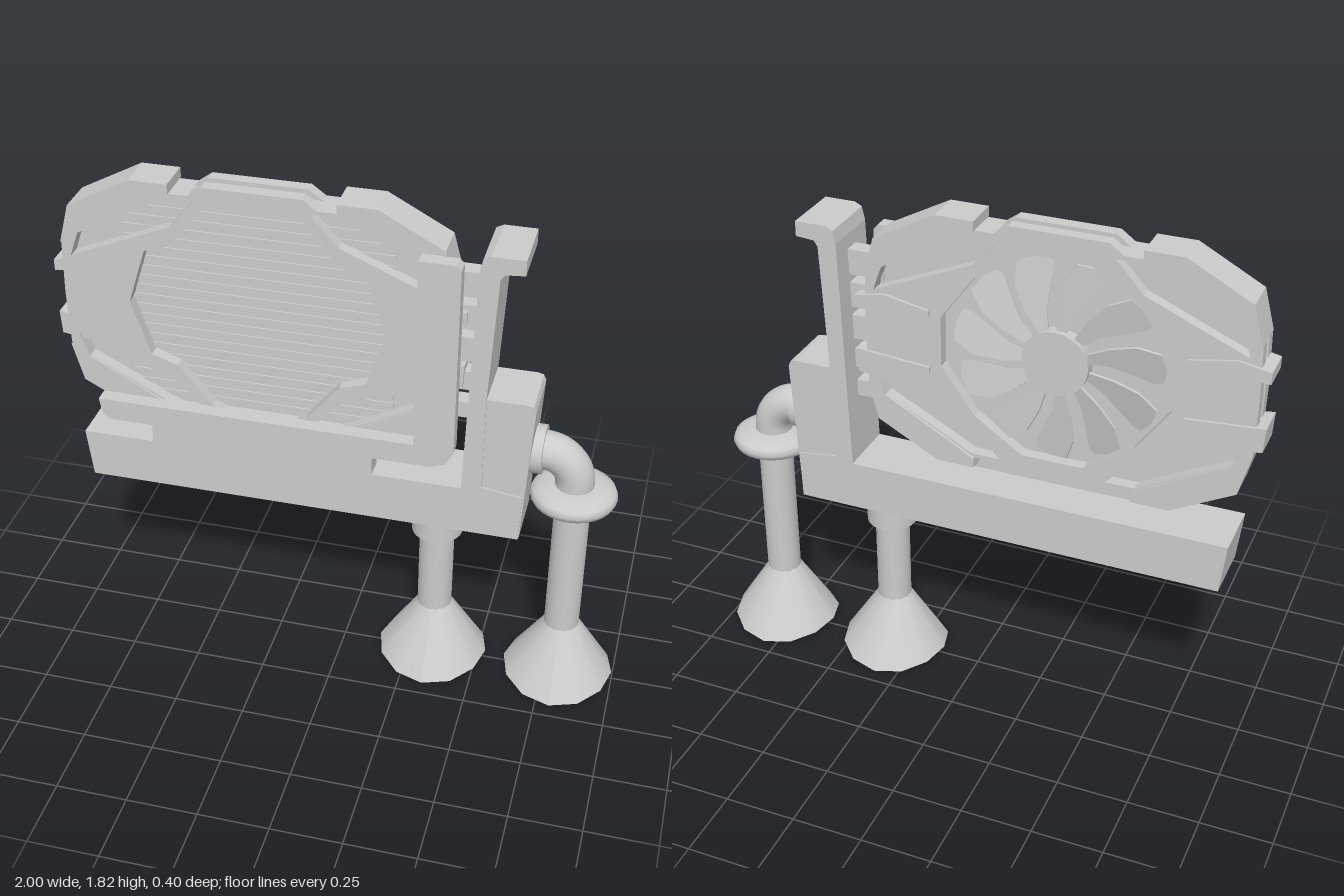
import * as THREE from 'three';

const grey = new THREE.MeshStandardMaterial({ color: 0xcccccc });
const thin = new THREE.MeshStandardMaterial({ color: 0xcccccc, side: THREE.DoubleSide });

function add(parent, name, geometry, x = 0, y = 0, z = 0, material = grey) {
  const mesh = new THREE.Mesh(geometry, material);
  mesh.name = name;
  mesh.position.set(x, y, z);
  parent.add(mesh);
  return mesh;
}

const vectors = (pts) => pts.map(([x, y]) => new THREE.Vector2(x, y));

// Flat plate between z0 and z1 with optional holes
function plate(pts, z0, z1, holes = []) {
  const shape = new THREE.Shape(vectors(pts));
  shape.holes = holes.map((h) => new THREE.Path(vectors(h)));
  return new THREE.ExtrudeGeometry(shape, { depth: z1 - z0, bevelEnabled: false }).translate(0, 0, z0);
}

const flip = (pts, sx, sy) => pts.map(([x, y]) => [x * sx, y * sy]);
const corners = [[1, 1], [-1, 1], [-1, -1], [1, -1]];

// Closed loop from the upper right quarter of a symmetric outline
function fourfold(q) {
  const off = q.filter((p) => p[1] > 0);
  return [
    ...q,
    ...flip(off, -1, 1).reverse(),
    ...flip(q, -1, -1).filter((p, i) => q[i][1] > 0 || i === 0),
    ...flip(off, 1, -1).reverse(),
  ];
}

function buildCooler() {
  const cooler = new THREE.Group();
  cooler.name = 'fanCooler';
  const outline = fourfold([[0.675, 0], [0.67, 0.2], [0.633, 0.338], [0.413, 0.455], [0.28, 0.455],
    [0.28, 0.42], [0.215, 0.42], [0.167, 0.455]]);
  const frontWindow = fourfold([[0.443, 0], [0.378, 0.2], [0.285, 0.23], [0.167, 0.375], [0.13, 0.4]]);
  const backWindow = fourfold([[0.4, 0.09], [0.28, 0.255], [0.11, 0.37]]);
  const slot = [[0.285, 0.3], [0.46, 0.225], [0.638, 0.15], [0.606, 0.24], [0.46, 0.315], [0.29, 0.405], [0.19, 0.405]];
  const slots = corners.map(([sx, sy]) => flip(slot, sx, sy));

  // Shroud: two slotted faces around a closed core
  add(cooler, 'frontShroud', plate(outline, 0.01, 0.055, [frontWindow, ...slots]));
  add(cooler, 'backShroud', plate(outline, -0.062, -0.02, [backWindow, ...slots]));
  add(cooler, 'shroudCore', plate(fourfold([[0.66, 0], [0.655, 0.2], [0.62, 0.33], [0.41, 0.42]]), -0.02, 0.01,
    [fourfold([[0.46, 0.4]])]));

  // Raised corner guards
  const guard = [[0.28, 0.455], [0.413, 0.455], [0.633, 0.338], [0.67, 0.2], [0.638, 0.15],
    [0.606, 0.24], [0.46, 0.32], [0.28, 0.42]];
  for (const [sx, sy] of corners) add(cooler, 'cornerGuard', plate(flip(guard, sx, sy), -0.072, 0.062));

  // Ridges that end in teeth on the short sides
  for (const sx of [-1, 1]) {
    for (const ridge of [[[0.707, 0.12], [0.6, 0.14], [0.44, 0.11], [0.44, 0.09], [0.707, 0.08]],
      [[0.707, -0.08], [0.44, -0.1], [0.44, -0.12], [0.6, -0.18], [0.702, -0.165]]]) {
      add(cooler, 'sideRidge', plate(flip(ridge, sx, 1), -0.072, -0.05));
      add(cooler, 'sideTooth', plate(flip(ridge.map(([x, y]) => [Math.max(x, 0.6), y]), sx, 1), -0.06, 0.05));
    }
  }

  // Heat sink slats
  const slat = new THREE.BoxGeometry(0.93, 0.023, 0.03);
  for (let i = -10; i <= 10; i++) add(cooler, 'heatSinkSlat', slat, 0, i * 0.0375, 0.0);

  // Fan facing the back
  const fan = new THREE.Group();
  fan.name = 'fan';
  fan.position.z = -0.042;
  cooler.add(fan);
  add(fan, 'fanHub', new THREE.CylinderGeometry(0.115, 0.115, 0.045, 24).rotateX(Math.PI / 2));
  const polar = (r, a) => [r * Math.cos(a), r * Math.sin(a)];
  const bladeShape = [polar(0.1, -0.16), polar(0.2, -0.16), polar(0.29, -0.1), polar(0.36, 0.02),
    polar(0.365, 0.2), polar(0.355, 0.38), polar(0.27, 0.32), polar(0.18, 0.2), polar(0.1, 0.14)];
  const blade = plate(bladeShape, -0.004, 0.004).rotateX(0.22);
  for (let i = 0; i < 11; i++) add(fan, 'fanBlade', blade).rotation.z = (i / 11) * Math.PI * 2;
  return cooler;
}

// Pipe ending in a flared foot with a slightly wavy rim
function buildLeg(name, x, top) {
  const leg = new THREE.Group();
  leg.name = name;
  leg.position.x = x;
  add(leg, 'legPipe', new THREE.CylinderGeometry(0.062, 0.062, top - 0.235, 20), 0, (top + 0.235) / 2, 0);
  const flare = new THREE.CylinderGeometry(0.062, 0.198, 0.225, 12, 1, true).translate(0, 0.1275, 0);
  const p = flare.attributes.position;
  for (let i = 0; i < p.count; i++) {
    if (p.getY(i) < 0.1) p.setY(i, 0.0145 + 0.0145 * (p.getX(i) ** 2 - p.getZ(i) ** 2) / 0.198 ** 2);
  }
  flare.computeVertexNormals();
  add(leg, 'flaredFoot', flare, 0, 0, 0, thin);
  return leg;
}

export function createModel() {
  const model = new THREE.Group();
  model.name = 'fanStand';

  const cooler = buildCooler();
  cooler.position.set(-0.295, 1.36, -0.003);
  model.add(cooler);

  // Base bar with the upright post and its hooked top
  add(model, 'basePost', plate([[-0.925, 0.835], [-0.905, 0.655], [0.635, 0.655], [0.64, 0.83], [0.5, 0.85],
    [0.5, 1.2], [0.522, 1.65], [0.535, 1.67], [0.6, 1.675], [0.6, 1.728], [0.49, 1.728], [0.465, 1.715],
    [0.455, 1.67], [0.43, 0.835]], -0.11, 0.11));
  add(model, 'endBlock', plate([[0.49, 0.66], [0.637, 0.66], [0.664, 1.175], [0.655, 1.195], [0.635, 1.2],
    [0.49, 1.2]], -0.104, 0.104));

  // Front L bracket and its pedestal
  add(model, 'bracket', plate([[-0.86, 0.985], [-0.85, 0.925], [-0.825, 0.905], [0.32, 0.905], [0.375, 0.925],
    [0.4, 0.975], [0.4, 1.665], [0.385, 1.682], [0.262, 1.682], [0.262, 0.985]], 0.06, 0.112));
  add(model, 'pedestal', new THREE.BoxGeometry(0.79, 0.09, 0.07), -0.275, 0.87, 0.075);

  // Prongs between cooler and post
  for (const [y, h] of [[1.575, 0.09], [1.455, 0.09], [1.335, 0.09], [1.215, 0.07], [1.1, 0.06]]) {
    add(model, 'prong', new THREE.BoxGeometry(0.13, h, 0.06), 0.39, y, 0);
  }

  // Inner leg, hanging straight from the base
  const innerLeg = buildLeg('innerLeg', 0.335, 0.6);
  add(innerLeg, 'legCollar', new THREE.CylinderGeometry(0.09, 0.09, 0.09, 24), 0, 0.612, 0);
  model.add(innerLeg);

  // Outer leg with ring and elbow pipe
  const outerLeg = buildLeg('outerLeg', 0.8, 0.86);
  const ring = vectors([[0.05, 0.772], [0.12, 0.774], [0.142, 0.785], [0.15, 0.805], [0.142, 0.825],
    [0.12, 0.837], [0.085, 0.845], [0.05, 0.845]]);
  add(outerLeg, 'legRing', new THREE.LatheGeometry(ring, 28));
  model.add(outerLeg);
  const path = new THREE.CurvePath();
  const v = (x, y) => new THREE.Vector3(x, y, 0);
  path.add(new THREE.LineCurve3(v(0.65, 0.967), v(0.69, 0.967)));
  path.add(new THREE.CubicBezierCurve3(v(0.69, 0.967), v(0.751, 0.967), v(0.8, 0.916), v(0.8, 0.855)));
  path.add(new THREE.LineCurve3(v(0.8, 0.855), v(0.8, 0.81)));
  add(model, 'elbowPipe', new THREE.TubeGeometry(path, 24, 0.067, 20));
  add(model, 'elbowFlange', new THREE.CylinderGeometry(0.085, 0.085, 0.045, 24).rotateZ(Math.PI / 2), 0.668, 0.967, 0);
  return model;
}
